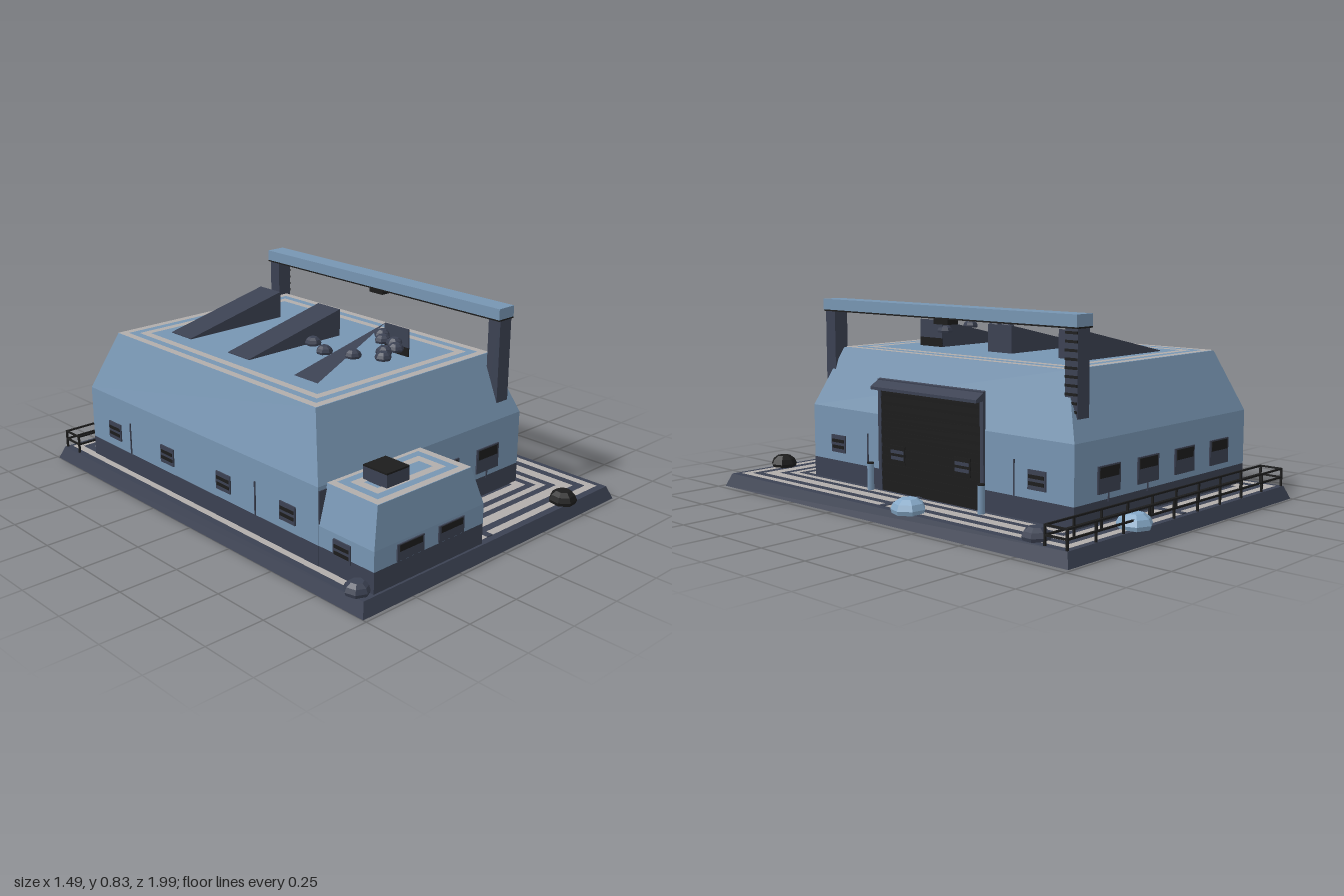
import * as THREE from 'three';

const mat = (name, color) => {
  const m = new THREE.MeshStandardMaterial({ color });
  m.name = name;
  return m;
};

export function createModel() {
  const root = new THREE.Group();
  root.name = 'warehouse';
  const blue = mat('steel blue', 0x7795b2), slate = mat('dark slate', 0x3b4152);
  const black = mat('soft black', 0x1c1c1c), tan = mat('warm grey', 0xb1adab);
  const paleBlue = mat('pale blue rock', 0x86a9c8);

  const add = (name, geo, m, parent = root) => {
    const mesh = new THREE.Mesh(geo, m);
    mesh.name = name;
    parent.add(mesh);
    return mesh;
  };
  const group = (name) => {
    const g = new THREE.Group();
    g.name = name;
    root.add(g);
    return g;
  };
  // Box given by its extents
  const box = (name, x0, x1, y0, y1, z0, z1, m, parent) => {
    const b = add(name, new THREE.BoxGeometry(x1 - x0, y1 - y0, z1 - z0), m, parent);
    b.position.set((x0 + x1) / 2, (y0 + y1) / 2, (z0 + z1) / 2);
    return b;
  };
  const triangles = (p) => {
    const g = new THREE.BufferGeometry();
    g.setAttribute('position', new THREE.Float32BufferAttribute(p, 3));
    g.computeVertexNormals();
    return g;
  };
  // Stacked rectangles [y, x0, x1, z0, z1] joined by flat sides and capped
  const loft = (tiers) => {
    const p = [];
    const rings = tiers.map(([y, x0, x1, z0, z1]) => [[x0, y, z1], [x1, y, z1], [x1, y, z0], [x0, y, z0]]);
    const quad = (a, b, c, d) => p.push(...a, ...b, ...c, ...a, ...c, ...d);
    for (let t = 0; t < rings.length - 1; t++) {
      const a = rings[t], b = rings[t + 1];
      for (let i = 0; i < 4; i++) quad(a[i], a[(i + 1) % 4], b[(i + 1) % 4], b[i]);
    }
    quad(...rings[rings.length - 1]);
    quad(...[...rings[0]].reverse());
    return triangles(p);
  };
  // Flat painted band inside a rectangle, between insets a and b
  const band = (name, [x0, x1, z0, z1], a, b, y, m, parent) => {
    const path = (T, d) => {
      const s = new T();
      s.moveTo(x0 + d, -z1 + d);
      s.lineTo(x1 - d, -z1 + d);
      s.lineTo(x1 - d, -z0 - d);
      s.lineTo(x0 + d, -z0 - d);
      s.closePath();
      return s;
    };
    const shape = path(THREE.Shape, a);
    shape.holes.push(path(THREE.Path, b));
    const g = new THREE.ShapeGeometry(shape);
    g.rotateX(-Math.PI / 2);
    add(name, g, m, parent).position.y = y;
  };

  // Ground slab with painted lanes
  add('baseSlab', loft([[0, -0.75, 0.722, -0.987, 0.985], [0.055, -0.728, 0.7, -0.965, 0.963]]), slate);
  const lanes = group('groundLanes');
  for (const [a, b] of [[0, 0.035], [0.07, 0.12], [0.15, 0.18], [0.21, 0.25]])
    band('lane', [-0.7, 0.672, -0.945, 0.935], a, b, 0.057, tan, lanes);
  box('laneGap', 0.47, 0.672, 0.054, 0.059, -0.015, 0.015, slate, lanes);
  box('laneGap', -0.035, -0.005, 0.054, 0.059, -0.945, -0.8, slate, lanes);
  box('laneGap', -0.035, -0.005, 0.054, 0.059, 0.67, 0.935, slate, lanes);

  // Main hall
  const hall = [-0.67, 0.465, -0.8, 0.67];
  add('hallSkirt', loft([[0.055, ...hall], [0.14, ...hall]]), slate);
  add('hallWalls', loft([[0.14, ...hall], [0.37, ...hall], [0.622, -0.585, 0.377, -0.695, 0.565]]), blue);
  const roof = [-0.585, 0.377, -0.695, 0.565];
  band('roofStripe', roof, 0, 0.033, 0.624, tan);
  band('roofStripe', roof, 0.066, 0.1, 0.624, tan);

  // Front annex
  const annex = [-0.668, -0.09, 0.6, 0.953];
  add('annexSkirt', loft([[0.055, ...annex], [0.14, ...annex]]), slate);
  add('annexWalls', loft([[0.14, ...annex], [0.22, ...annex], [0.373, -0.625, -0.137, 0.63, 0.924]]), blue);
  box('annexCollar', -0.667, -0.103, 0.14, 0.355, 0.665, 0.674, slate);
  const annexRoof = [-0.625, -0.137, 0.655, 0.924];
  band('annexStripe', annexRoof, 0, 0.032, 0.375, tan);
  band('annexStripe', annexRoof, 0.065, 0.1, 0.375, tan);
  box('annexVent', -0.505, -0.39, 0.37, 0.425, 0.73, 0.85, slate);
  box('annexVentTop', -0.505, -0.39, 0.425, 0.432, 0.73, 0.85, black);

  // Windows: slate panel with a black pane, on front (dir 1) or back (dir -1)
  const window = (x, y, w, h, z, dir) => {
    const g = group('window');
    box('windowFrame', x - w / 2, x + w / 2, y, y + h, z - 0.004, z + 0.004, slate, g);
    box('windowPane', x - w / 2 + 0.01, x + w / 2 - 0.01, y + h * 0.56, y + h * 0.95,
      z + dir * 0.004 - 0.002, z + dir * 0.004 + 0.002, black, g);
  };
  for (const x of [0.02, 0.265]) window(x, 0.165, 0.135, 0.105, 0.672, 1);
  for (const x of [-0.475, -0.225, 0.02, 0.265]) window(x, 0.165, 0.135, 0.105, -0.802, -1);
  for (const x of [-0.488, -0.272]) window(x, 0.145, 0.137, 0.065, 0.955, 1);
  for (const x of [0.02, 0.265])
    for (const z of [0.671, -0.801]) box('drainLine', x - 0.003, x + 0.003, 0.13, 0.165, z - 0.003, z + 0.003, slate);

  // Side vents: plate with two slots
  const vent = (x, y, z, plate = slate, slot = black) => {
    const g = group('sideVent');
    box('ventPlate', x - 0.004, x + 0.004, y, y + 0.075, z - 0.044, z + 0.044, plate, g);
    for (const s of [0.017, 0.043])
      box('ventSlot', x - 0.006, x + 0.006, y + s, y + s + 0.014, z - 0.038, z + 0.038, slot, g);
  };
  for (const z of [0.505, 0.125, -0.245, -0.625]) {
    vent(-0.672, 0.177, z);
    if (Math.abs(z) < 0.3) vent(0.471, 0.177, z, black, slate);
    else vent(0.467, 0.177, z);
  }
  vent(-0.67, 0.125, 0.795);
  vent(-0.088, 0.125, 0.795);
  for (const x of [-0.67, 0.465])
    for (const z of [0.317, -0.51]) box('wallSeam', x - 0.004, x + 0.004, 0.14, 0.28, z - 0.003, z + 0.003, slate);

  // Upright roller door panel with frame and hood
  const door = group('rollerDoor');
  for (const z of [0.222, -0.36]) box('doorJamb', 0.462, 0.475, 0.055, 0.49, z, z + 0.018, slate, door);
  box('doorLintel', 0.462, 0.475, 0.485, 0.52, -0.36, 0.24, slate, door);
  box('doorPanel', 0.462, 0.47, 0.055, 0.485, -0.342, 0.222, black, door);
  for (let y = 0.08; y < 0.48; y += 0.035) box('doorSlat', 0.465, 0.473, y, y + 0.02, -0.342, 0.222, black, door);
  const hoodShape = new THREE.Shape();
  [[0.462, 0.485], [0.515, 0.48], [0.515, 0.492], [0.462, 0.523]]
    .forEach(([x, y], i) => (i ? hoodShape.lineTo(x, y) : hoodShape.moveTo(x, y)));
  add('doorHood', new THREE.ExtrudeGeometry(hoodShape, { depth: 0.6, bevelEnabled: false }), slate, door).position.z = -0.36;
  for (const z of [0.255, -0.38]) {
    add('bollard', new THREE.CylinderGeometry(0.014, 0.014, 0.115, 8), blue, door).position.set(0.507, 0.112, z);
    add('bollardCap', new THREE.CylinderGeometry(0.015, 0.015, 0.006, 8), black, door).position.set(0.507, 0.17, z);
  }

  // Gantry crane with rungs on the outer face of the back post
  const gantry = group('gantry');
  box('gantryBeam', 0.33, 0.42, 0.784, 0.83, -0.77, 0.648, blue, gantry);
  box('gantryBeamUnderside', 0.33, 0.42, 0.778, 0.784, -0.77, 0.648, black, gantry);
  box('gantryFrontPost', 0.342, 0.41, 0.43, 0.78, 0.585, 0.645, slate, gantry);
  box('gantryBackPost', 0.342, 0.41, 0.43, 0.78, -0.767, -0.708, slate, gantry);
  box('hoist', 0.345, 0.405, 0.755, 0.78, -0.1, -0.02, black, gantry);
  for (let y = 0.47; y < 0.77; y += 0.032) box('ladderRung', 0.405, 0.414, y, y + 0.01, -0.766, -0.709, black, gantry);

  // Roof wedges, two whole and one collapsed
  const wedge = new THREE.Shape();
  wedge.moveTo(-0.41, 0.615);
  wedge.lineTo(0.092, 0.615);
  wedge.lineTo(0.092, 0.738);
  wedge.lineTo(-0.41, 0.625);
  const wedgeGeo = new THREE.ExtrudeGeometry(wedge, { depth: 0.135, bevelEnabled: false });
  for (const z of [-0.545, -0.158]) add('roofWedge', wedgeGeo, slate).position.z = z;
  add('brokenWedge', triangles([
    -0.41, 0.627, 0.25, -0.41, 0.627, 0.385, 0.092, 0.738, 0.25,
    0.092, 0.622, 0.25, -0.41, 0.622, 0.25, 0.092, 0.738, 0.25,
  ]), slate);
  box('brokenWedgeEnd', 0.086, 0.092, 0.66, 0.738, 0.25, 0.385, slate);
  box('brokenWedgeSill', 0.086, 0.092, 0.622, 0.66, 0.25, 0.385, black);

  // Rubble and boulders: faceted domes with a flat underside
  const dome = [[0, 0], [0.92, 0], [1, 0.3], [0.85, 0.7], [0.5, 1], [0, 1]].map(([x, y]) => new THREE.Vector2(x, y));
  const rockGeo = new THREE.LatheGeometry(dome, 7).toNonIndexed();
  rockGeo.computeVertexNormals();
  const rock = (name, x, y, z, r, h, m) => {
    const k = add(name, rockGeo, m);
    k.position.set(x, y, z);
    k.scale.set(r, h, r);
    k.rotation.y = x * 9 + z * 5;
  };
  for (const [x, z] of [[-0.21, 0.14], [-0.255, 0.255], [-0.21, 0.37], [-0.145, 0.47], [-0.09, 0.42],
    [-0.03, 0.425], [0.02, 0.37], [0.015, 0.31], [0.068, 0.255]]) rock('rubble', x, 0.684, z, 0.034, 0.031, slate);
  rock('boulder', 0.675, 0.054, -0.155, 0.07, 0.057, paleBlue);
  rock('boulder', 0.278, 0.054, -0.933, 0.07, 0.057, paleBlue);
  rock('boulder', 0.648, 0.054, -0.78, 0.055, 0.048, slate);
  rock('boulder', 0.44, 0.054, 0.932, 0.058, 0.052, black);
  rock('boulder', -0.697, 0.054, 0.9, 0.052, 0.046, slate);

  // Back railing: two long runs joined at the ends
  const fence = group('railing');
  for (const z of [-0.962, -0.863]) {
    for (const y of [0.09, 0.126]) box('rail', -0.722, 0.697, y, y + 0.007, z, z + 0.008, black, fence);
    for (let i = 0; i <= 9; i++) {
      const x = -0.722 + i * 0.1568;
      box('railPost', x, x + 0.008, 0.05, 0.133, z, z + 0.008, black, fence);
    }
  }
  for (const x of [-0.722, 0.689])
    for (const y of [0.09, 0.126]) box('endRail', x, x + 0.008, y, y + 0.007, -0.962, -0.855, black, fence);

  return root;
}
